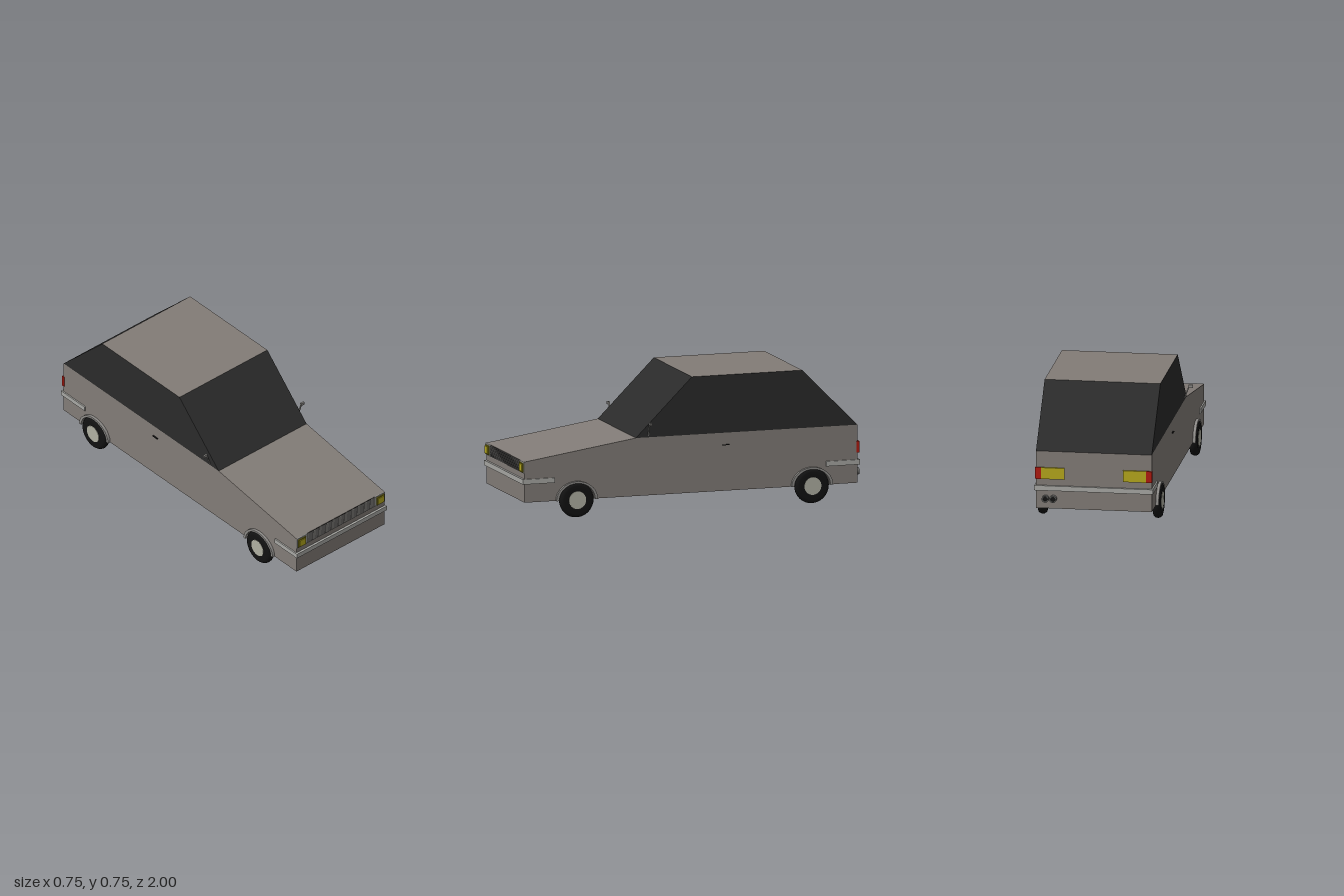
import * as THREE from 'three';

const mat = (color, side = THREE.FrontSide) =>
  new THREE.MeshStandardMaterial({ color, side, flatShading: side === THREE.DoubleSide });

export function createModel() {
  const car = new THREE.Group();
  car.name = 'car';
  const W = 0.326;
  const paint = mat(0x827c77, THREE.DoubleSide);
  const glass = mat(0x2a2a2a, THREE.DoubleSide);
  const trim = mat(0x8c8a87), chrome = mat(0xa8a8a4), black = mat(0x141414);
  const tyreMat = mat(0x121212), hubMat = mat(0xb0b0a2);
  const yellow = mat(0xb5a81c), amberRim = mat(0x7d7616), red = mat(0xb01a10);

  const add = (name, geo, material, x = 0, y = 0, z = 0, parent = car) => {
    const m = new THREE.Mesh(geo, material);
    m.name = name;
    m.position.set(x, y, z);
    parent.add(m);
    return m;
  };
  // Box given by its limits on each axis
  const box = (name, material, [x0, x1], [y0, y1], [z0, z1]) =>
    add(name, new THREE.BoxGeometry(Math.abs(x1 - x0), y1 - y0, z1 - z0), material,
      (x0 + x1) / 2, (y0 + y1) / 2, (z0 + z1) / 2);

  // Flat convex panel from its corners
  const panel = (name, material, corners) => {
    const pos = [];
    for (let i = 1; i < corners.length - 1; i++) pos.push(...corners[0], ...corners[i], ...corners[i + 1]);
    const geo = new THREE.BufferGeometry();
    geo.setAttribute('position', new THREE.Float32BufferAttribute(pos, 3));
    geo.computeVertexNormals();
    add(name, geo, material);
  };

  // Shell: side profile as [z, y], open underneath
  const noseLow = [0.985, 0.1], nose = [0.985, 0.33], cowl = [0.33, 0.428], roofFront = [0, 0.755];
  const roofBack = [-0.65, 0.755], tail = [-0.975, 0.428], tailLow = [-0.975, 0.1];
  const at = (x, [z, y]) => [x, y, z];
  const strip = (name, material, a, b) =>
    panel(name, material, [at(W, a), at(W, b), at(-W, b), at(-W, a)]);
  strip('frontPanel', paint, noseLow, nose);
  strip('hood', paint, nose, cowl);
  strip('windshield', glass, cowl, roofFront);
  strip('roof', paint, roofFront, roofBack);
  strip('rearWindow', glass, roofBack, tail);
  strip('rearPanel', paint, tail, tailLow);
  for (const s of [1, -1]) {
    const side = (pts) => (s > 0 ? pts : [...pts].reverse()).map((p) => at(s * W, p));
    panel('bodySide', paint, side([noseLow, tailLow, tail, cowl, nose]));
    panel('sideWindow', glass, side([cowl, tail, roofBack, roofFront]));
  }

  // Tyre section, revolved around the axle
  const tyreGeo = new THREE.LatheGeometry([
    [0, -0.024], [0.078, -0.024], [0.09, -0.021], [0.098, -0.011], [0.1, 0],
    [0.098, 0.011], [0.09, 0.021], [0.078, 0.024], [0.05, 0.022], [0, 0.022],
  ].map(([r, y]) => new THREE.Vector2(r, y)), 32);
  const hubGeo = new THREE.CylinderGeometry(0.05, 0.05, 0.006, 32);

  // Half-oval lip over each wheel
  const lip = new THREE.Shape();
  lip.absellipse(0, 0, 0.122, 0.105, 0, Math.PI, false);
  lip.lineTo(-0.106, 0);
  lip.absellipse(0, 0, 0.106, 0.094, Math.PI, 0, true);
  const lipGeo = new THREE.ExtrudeGeometry(lip, { depth: 0.03, bevelEnabled: false, curveSegments: 20 });
  lipGeo.translate(0, 0, -0.015);
  lipGeo.rotateY(Math.PI / 2);

  for (const s of [1, -1]) {
    for (const z of [0.68, -0.705]) {
      const wheel = new THREE.Group();
      wheel.name = 'wheel';
      wheel.position.set(s * 0.324, 0.1, z);
      wheel.rotation.z = -s * Math.PI / 2;
      car.add(wheel);
      add('tyre', tyreGeo, tyreMat, 0, 0, 0, wheel);
      add('hubcap', hubGeo, hubMat, 0, 0.021, 0, wheel);
      add('wheelArch', lipGeo, trim, s * 0.327, 0.1, z);
    }
  }

  // Bumpers with wrapped ends
  box('frontBumper', chrome, [-0.334, 0.334], [0.204, 0.232], [0.98, 0.998]);
  box('rearBumper', chrome, [-0.334, 0.334], [0.204, 0.232], [-0.988, -0.97]);
  for (const s of [1, -1]) {
    box('frontBumperEnd', chrome, [s * 0.32, s * 0.334], [0.204, 0.232], [0.81, 0.98]);
    box('rearBumperEnd', chrome, [s * 0.32, s * 0.334], [0.204, 0.232], [-0.97, -0.79]);
  }

  // Grille with slats
  box('grille', black, [-0.25, 0.25], [0.265, 0.328], [0.98, 0.988]);
  for (let i = 0; i < 9; i++) {
    const y = 0.268 + i * 0.007;
    box('grilleSlat', trim, [-0.25, 0.25], [y, y + 0.0025], [0.985, 0.992]);
  }

  for (const s of [1, -1]) {
    // Headlights
    box('headlightFrame', chrome, [s * 0.252, s * 0.326], [0.265, 0.33], [0.975, 0.99]);
    box('headlightRim', amberRim, [s * 0.264, s * 0.319], [0.27, 0.322], [0.985, 0.996]);
    box('headlight', yellow, [s * 0.27, s * 0.313], [0.276, 0.316], [0.99, 1]);

    // Tail lights
    box('rearIndicator', yellow, [s * 0.165, s * 0.296], [0.27, 0.335], [-0.986, -0.97]);
    box('brakeLight', red, [s * 0.296, s * 0.329], [0.27, 0.335], [-0.986, -0.968]);

    // Mirrors on slanted stalks
    const stalk = new THREE.Shape([[0.322, 0.435], [0.328, 0.435], [0.355, 0.508], [0.349, 0.512]]
      .map(([x, y]) => new THREE.Vector2(s * x, y)));
    add('mirrorStalk', new THREE.ExtrudeGeometry(stalk, { depth: 0.006, bevelEnabled: false }), trim, 0, 0, 0.253);
    const head = new THREE.Shape([[0.349, 0.5], [0.373, 0.5], [0.373, 0.516], [0.349, 0.516]]
      .map(([x, y]) => new THREE.Vector2(s * x, y)));
    add('mirror', new THREE.ExtrudeGeometry(head, { depth: 0.01, bevelEnabled: false }), trim, 0, 0, 0.251);

    // Door handles
    box('doorHandle', black, [s * 0.322, s * 0.334], [0.358, 0.362], [-0.22, -0.18]);
  }

  // Twin exhaust, left side only
  const pipeGeo = new THREE.LatheGeometry([[0.013, -0.05], [0.02, -0.05], [0.02, 0], [0.013, 0], [0.013, -0.05]]
    .map(([r, y]) => new THREE.Vector2(r, y)), 20);
  for (const x of [0.228, 0.271]) {
    const pipe = add('exhaustPipe', pipeGeo, new THREE.MeshStandardMaterial({ color: 0x6a6a68, flatShading: true, side: THREE.DoubleSide }), x, 0.157, -1);
    pipe.rotation.x = -Math.PI / 2;
    const core = add('exhaustOpening', new THREE.CircleGeometry(0.013, 20), black, x, 0.157, -0.99);
    core.rotation.y = Math.PI;
  }
  return car;
}
